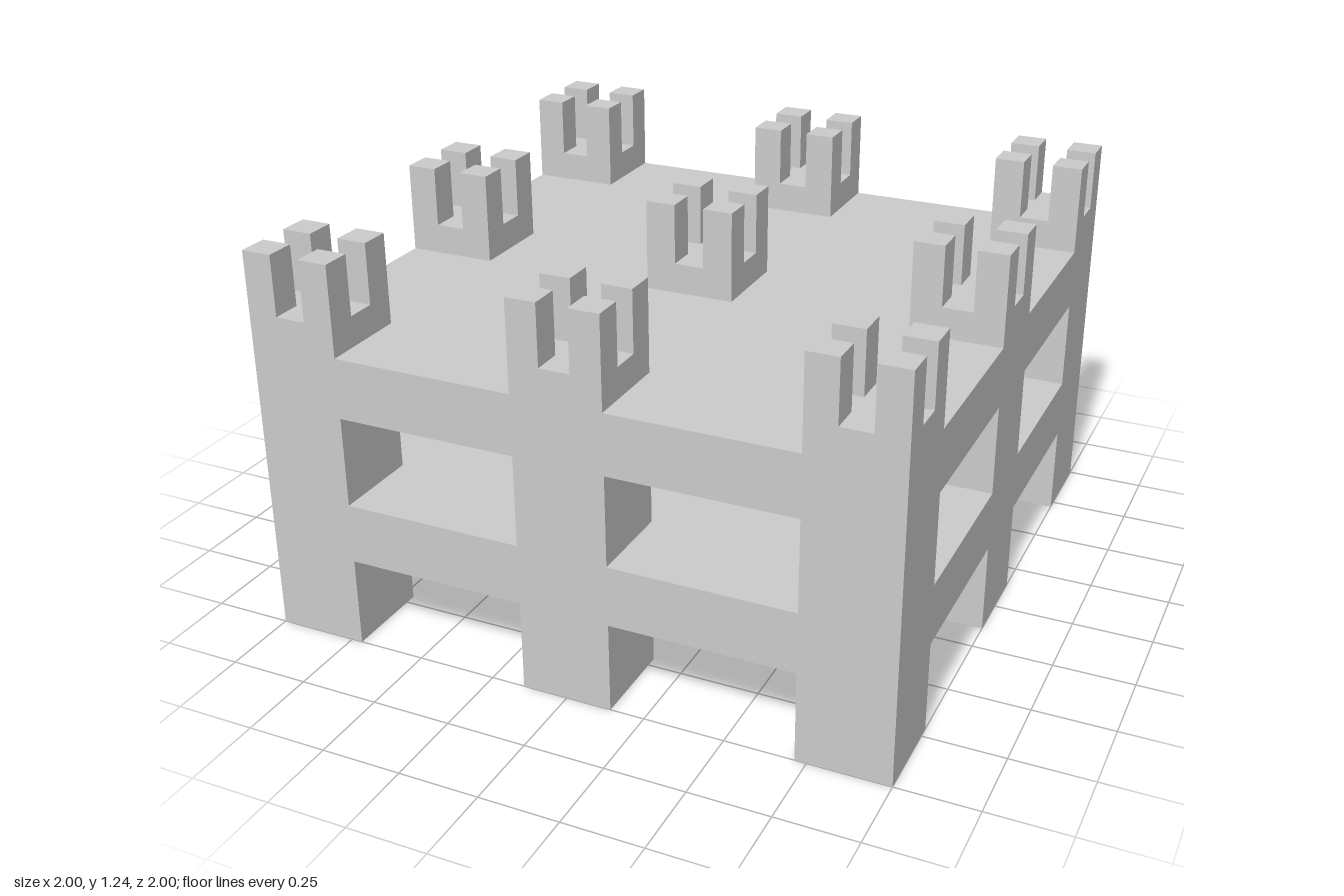
import * as THREE from 'three';

// Everything sits on a cubic grid, 21 cells wide
const U = 2 / 21;
const material = new THREE.MeshStandardMaterial({ color: 0xcccccc, flatShading: true });

// Square block, sizes in cells: centre x/z, bottom, top, width
function block(name, x, z, bottom, top, width) {
  const geometry = new THREE.BoxGeometry(width * U, (top - bottom) * U, width * U);
  const mesh = new THREE.Mesh(geometry, material);
  mesh.name = name;
  mesh.position.set(x * U, (bottom + top) / 2 * U, z * U);
  return mesh;
}

// One column: foot, middle section between the floors, cap and four corner prongs
function column(x, z) {
  const group = new THREE.Group();
  group.name = 'column';
  group.add(
    block('foot', x, z, 0, 3, 3),
    block('pillar', x, z, 5, 8, 3),
    block('cap', x, z, 10, 11, 3)
  );
  for (const dx of [-1, 1]) {
    for (const dz of [-1, 1]) group.add(block('prong', x + dx, z + dz, 11, 13, 1));
  }
  return group;
}

export function createModel() {
  const model = new THREE.Group();
  model.name = 'pillaredPlatform';

  // Two full-width floors
  model.add(block('lowerFloor', 0, 0, 3, 5, 21), block('upperFloor', 0, 0, 8, 10, 21));

  // Three by three columns
  for (const x of [-9, 0, 9]) {
    for (const z of [-9, 0, 9]) model.add(column(x, z));
  }
  return model;
}
